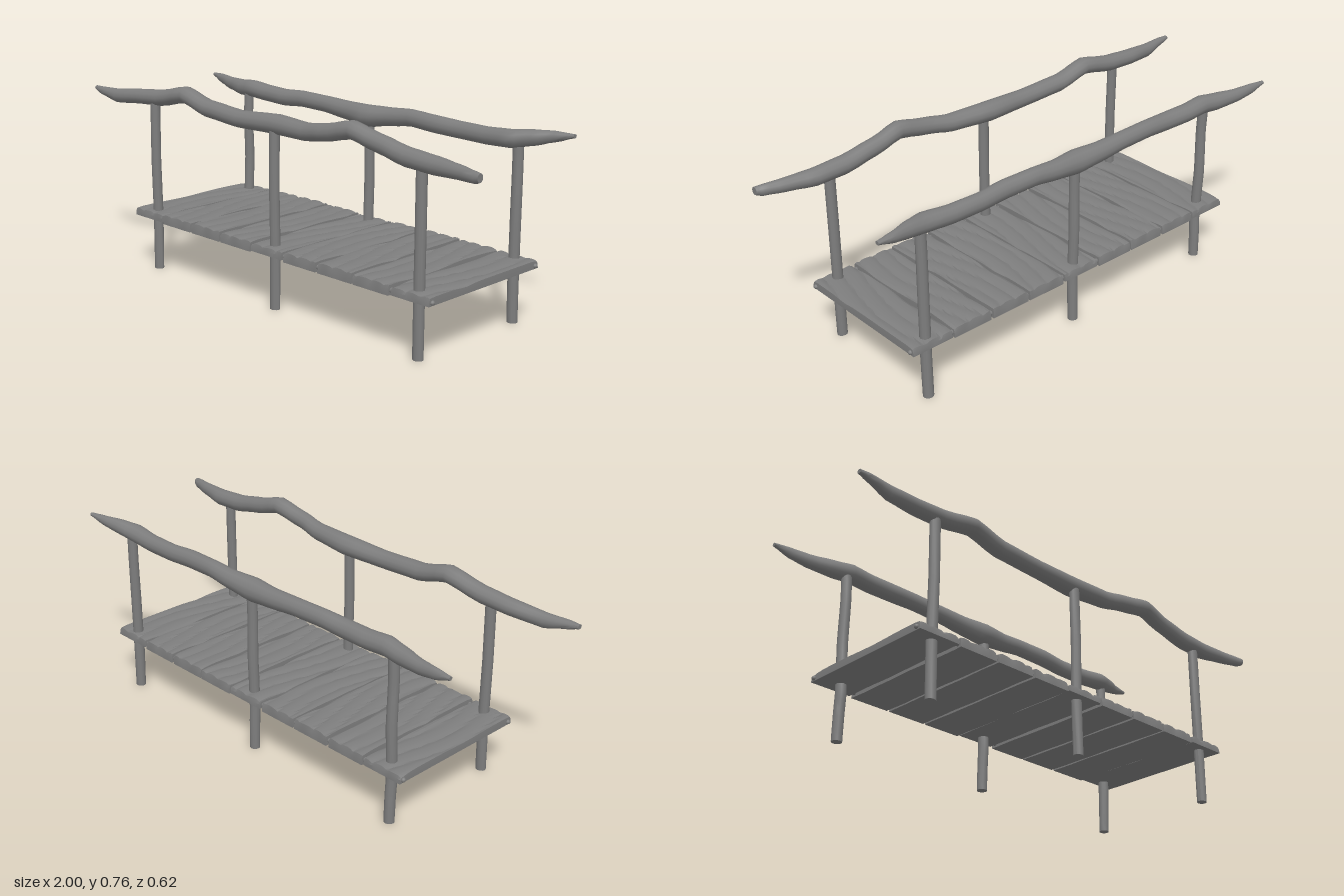
import * as THREE from 'three';
import { toCreasedNormals } from 'three/addons/utils/BufferGeometryUtils.js';

const material = new THREE.MeshStandardMaterial({ color: 0x7d7d7d });

// Loft of elliptical rings. Section: [position along axis, u, v, radius u, radius v].
// Axis 'x' has u = y, v = z; axis 'y' has u = z, v = x.
function loft(axis, sections, sides = 12) {
  const place = axis === 'x' ? (t, u, v) => [t, u, v] : (t, u, v) => [v, t, u];
  const pos = [], index = [], last = sections.length - 1;
  for (const [t, u, v, ru, rv] of sections) {
    for (let j = 0; j < sides; j++) {
      const a = (j / sides) * Math.PI * 2;
      pos.push(...place(t, u + Math.cos(a) * ru, v + Math.sin(a) * rv));
    }
  }
  for (let i = 0; i < last; i++) {
    for (let j = 0; j < sides; j++) {
      const a = i * sides + j, b = i * sides + (j + 1) % sides;
      index.push(a, b, a + sides, b, b + sides, a + sides);
    }
  }
  const c = pos.length / 3;
  pos.push(...place(...sections[0]), ...place(...sections[last]));
  for (let j = 0; j < sides; j++) {
    const k = (j + 1) % sides;
    index.push(c, k, j, c + 1, last * sides + j, last * sides + k);
  }
  const geo = new THREE.BufferGeometry();
  geo.setAttribute('position', new THREE.Float32BufferAttribute(pos, 3));
  geo.setIndex(index);
  return toCreasedNormals(geo, 0.9);
}

// Softens a list of sections with intermediate rings
function refine(sections, steps = 3) {
  const out = [];
  for (let i = 0; i < sections.length - 1; i++) {
    for (let s = 0; s < steps; s++) {
      const t = s / steps, e = 0.5 * t + 0.5 * t * t * (3 - 2 * t);
      out.push(sections[i].map((a, k) => a + (sections[i + 1][k] - a) * (k === 0 ? t : e)));
    }
  }
  out.push(sections[sections.length - 1]);
  return out;
}

// Weathered board: slightly ragged long edges, chipped ends and carved grain on top
function plankGeometry(x0, x1, bottom, top, seed, openLeft, openRight) {
  const w = x1 - x0, h = top - bottom;
  const geo = new THREE.BoxGeometry(w, h, 0.584, 14, 2, 18);
  const p = geo.attributes.position;
  for (let i = 0; i < p.count; i++) {
    let x = p.getX(i), y = p.getY(i), z = p.getZ(i);
    const u = x / (w / 2), v = z / 0.292, up = y / h + 0.5;
    const ragged = 0.0012 * Math.sin(z * 17 + seed * 2.3) + 0.0008 * Math.sin(z * 41 + seed * 5.1);
    if ((u < 0 && openLeft) || (u > 0 && openRight)) x += ragged * Math.abs(u);
    if (Math.abs(v) > 0.99) z -= Math.sign(v) * 0.002 * (1 + Math.sin(u * 5 + seed)) * up;
    if (up > 0.9) {
      const wave = Math.sin(u * 4 + 2 * Math.sin(z * 6 + seed * 1.3) + seed * 1.7);
      y -= 0.007 * Math.pow(1 - Math.abs(wave), 2);
      if (Math.abs(u) > 0.99) { y -= 0.002; x -= Math.sign(u) * 0.001; }
      if (Math.abs(v) > 0.99) { y -= 0.002; z -= Math.sign(v) * 0.003; }
    }
    p.setXYZ(i, x, y, z);
  }
  geo.translate((x0 + x1) / 2, (bottom + top) / 2, 0);
  return toCreasedNormals(geo, 0.35);
}

export function createModel() {
  const group = new THREE.Group();
  const add = (name, geo) => {
    const mesh = new THREE.Mesh(geo, material);
    mesh.name = name;
    group.add(mesh);
    return mesh;
  };

  // Deck boards
  const pitch = 0.172, gap = 0.005;
  for (let i = 0; i < 9; i++) {
    const x0 = -0.739 + i * pitch;
    const thin = i % 4 === 0;
    const top = thin ? 0.244 : 0.249 - 0.002 * (i % 2);
    add('plank' + (i + 1), plankGeometry(x0 + (i ? gap : 0), x0 + pitch - (i < 8 ? gap : 0),
      thin ? 0.213 : 0.208, top, i + 1, i > 0, i < 8));
  }

  // Round-ended rods threaded through the boards
  for (const side of [1, -1]) {
    const rod = add(side > 0 ? 'frontRod' : 'backRod', new THREE.CapsuleGeometry(0.009, 1.548, 4, 12));
    rod.rotation.z = Math.PI / 2;
    rod.position.set(0.035, 0.224, side * 0.275);
  }

  // Posts: straight in front, slightly crooked at the back
  const postX = [-0.651, 0.036, 0.731];
  const backBends = [0.014, 0.007, -0.003];
  postX.forEach((x, i) => {
    const lean = i === 2 ? 0 : -0.004;
    add('frontPost' + (i + 1), loft('y', [
      [0, 0.25, x, 0.018, 0.02], [0.22, 0.25 + lean, x, 0.019, 0.02],
      [0.45, 0.249, x, 0.019, 0.02], [0.69, 0.249 + lean, x, 0.019, 0.02]]));
    const b = backBends[i];
    add('backPost' + (i + 1), loft('y', refine([
      [0, -0.256 + b, x, 0.019, 0.02], [0.09, -0.254 + b, x, 0.02, 0.02],
      [0.18, -0.252 + b * 1.2, x, 0.021, 0.02], [0.26, -0.253 + b, x, 0.02, 0.02],
      [0.38, -0.254 + b * 0.7, x, 0.02, 0.02], [0.55, -0.254 + b, x, 0.019, 0.02],
      [0.66, -0.254 + b * 0.7, x, 0.019, 0.02]])));
  });

  // Gnarled handrails: [x, y, z, half height, half depth]
  add('frontRail', loft('x', refine([
    [-1, 0.695, 0.272, 0.008, 0.01], [-0.96, 0.688, 0.273, 0.016, 0.016],
    [-0.87, 0.677, 0.262, 0.028, 0.024], [-0.74, 0.688, 0.243, 0.03, 0.033],
    [-0.62, 0.697, 0.238, 0.032, 0.035], [-0.47, 0.728, 0.233, 0.032, 0.038],
    [-0.34, 0.694, 0.234, 0.033, 0.037], [-0.15, 0.682, 0.24, 0.033, 0.036],
    [0.03, 0.688, 0.228, 0.037, 0.043], [0.2, 0.688, 0.245, 0.033, 0.036],
    [0.3, 0.703, 0.258, 0.032, 0.033], [0.43, 0.731, 0.252, 0.033, 0.035],
    [0.54, 0.703, 0.246, 0.033, 0.033], [0.67, 0.677, 0.247, 0.034, 0.035],
    [0.79, 0.67, 0.25, 0.032, 0.034], [0.9, 0.671, 0.268, 0.025, 0.024],
    [0.98, 0.671, 0.287, 0.02, 0.018], [1, 0.674, 0.292, 0.015, 0.014]])));

  add('backRail', loft('x', refine([
    [-0.935, 0.69, -0.298, 0.007, 0.008], [-0.87, 0.679, -0.291, 0.021, 0.015],
    [-0.8, 0.67, -0.279, 0.026, 0.023], [-0.7, 0.667, -0.259, 0.033, 0.034],
    [-0.63, 0.672, -0.25, 0.035, 0.037], [-0.54, 0.665, -0.25, 0.034, 0.037],
    [-0.43, 0.662, -0.244, 0.034, 0.035], [-0.33, 0.668, -0.25, 0.033, 0.032],
    [-0.2, 0.665, -0.251, 0.033, 0.033], [-0.08, 0.657, -0.25, 0.037, 0.037],
    [0.03, 0.652, -0.243, 0.044, 0.045], [0.14, 0.662, -0.255, 0.036, 0.036],
    [0.24, 0.672, -0.257, 0.033, 0.031], [0.37, 0.667, -0.25, 0.034, 0.032],
    [0.48, 0.662, -0.256, 0.033, 0.03], [0.6, 0.661, -0.253, 0.033, 0.033],
    [0.71, 0.668, -0.247, 0.034, 0.039], [0.79, 0.681, -0.268, 0.029, 0.028],
    [0.86, 0.692, -0.29, 0.02, 0.017], [0.93, 0.702, -0.301, 0.007, 0.009]])));

  return group;
}
